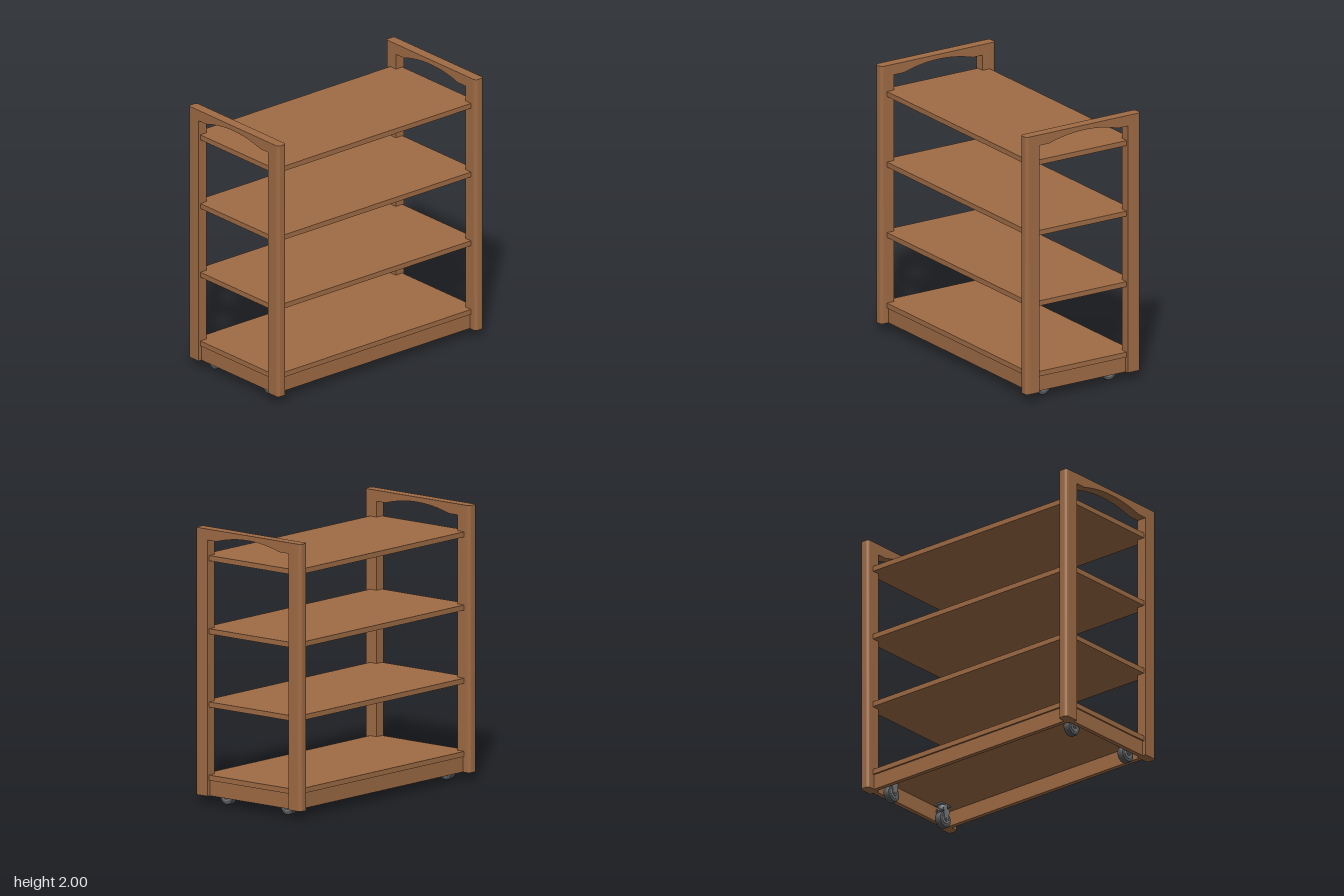
import * as THREE from 'three';
import { toCreasedNormals } from 'three/addons/utils/BufferGeometryUtils.js';

const wood = new THREE.MeshStandardMaterial({ color: 0xa06c45 });
wood.name = 'wood';
const steel = new THREE.MeshStandardMaterial({ color: 0x777a7d });
steel.name = 'steel';
const rubber = new THREE.MeshStandardMaterial({ color: 0x55585b });
rubber.name = 'rubber';

const FLOOR = 0.065, TOP = 2, OUT = 0.49, IN = 0.378, Z0 = 0.885, Z1 = 0.962;

function add(parent, name, geometry, material, x = 0, y = 0, z = 0) {
  const mesh = new THREE.Mesh(geometry, material);
  mesh.name = name;
  mesh.position.set(x, y, z);
  parent.add(mesh);
  return mesh;
}

function box(parent, name, material, x0, x1, y0, y1, z0, z1) {
  return add(parent, name, new THREE.BoxGeometry(x1 - x0, y1 - y0, z1 - z0), material,
    (x0 + x1) / 2, (y0 + y1) / 2, (z0 + z1) / 2);
}

// Upright with rounded outer corners, plan extruded upwards
function postGeometry() {
  const r = 0.022, d = (Z1 - Z0) / 2;
  const s = new THREE.Shape();
  s.moveTo(IN, -d);
  s.lineTo(OUT - r, -d);
  s.absarc(OUT - r, -d + r, r, -Math.PI / 2, 0, false);
  s.absarc(OUT - r, d - r, r, 0, Math.PI / 2, false);
  s.lineTo(IN, d);
  s.closePath();
  const g = new THREE.ExtrudeGeometry(s, { depth: TOP - FLOOR, bevelEnabled: false, curveSegments: 6 });
  g.rotateX(-Math.PI / 2);
  return toCreasedNormals(g, 0.6);
}

// Handle rail with an arched underside
function handleGeometry() {
  const s = new THREE.Shape();
  s.moveTo(-IN, TOP);
  s.lineTo(-IN, 1.92);
  s.lineTo(-0.295, 1.92);
  s.quadraticCurveTo(0, 2.008, 0.295, 1.92);
  s.lineTo(IN, 1.92);
  s.lineTo(IN, TOP);
  s.closePath();
  const g = new THREE.ExtrudeGeometry(s, { depth: Z1 - Z0, bevelEnabled: false, curveSegments: 20 });
  g.translate(0, 0, -(Z1 - Z0) / 2);
  return toCreasedNormals(g, 0.3);
}

function endFrame(side) {
  const g = new THREE.Group();
  g.name = side > 0 ? 'frontFrame' : 'backFrame';
  const post = postGeometry();
  add(g, 'leftPost', post, wood, 0, FLOOR, 0);
  add(g, 'rightPost', post, wood, 0, FLOOR, 0).rotation.y = Math.PI;
  add(g, 'handleRail', handleGeometry(), wood);
  g.position.z = side * (Z0 + Z1) / 2;
  return g;
}

// Shelf board notched around the four posts
function shelfGeometry() {
  const w = 0.44, e = 0.945;
  const s = new THREE.Shape([
    [-IN, -e], [IN, -e], [IN, -Z0], [w, -Z0], [w, Z0], [IN, Z0],
    [IN, e], [-IN, e], [-IN, Z0], [-w, Z0], [-w, -Z0], [-IN, -Z0],
  ].map(([x, y]) => new THREE.Vector2(x, y)));
  const g = new THREE.ExtrudeGeometry(s, { depth: 0.038, bevelEnabled: false });
  g.rotateX(-Math.PI / 2);
  return g;
}

// Swivel caster: plate, stem, fork, wheel and axle
function caster() {
  const g = new THREE.Group();
  g.name = 'caster';
  box(g, 'mountPlate', steel, -0.05, 0.05, 0.168, 0.178, -0.035, 0.035);
  add(g, 'swivel', new THREE.CylinderGeometry(0.034, 0.034, 0.026, 20), steel, 0, 0.155, 0);
  box(g, 'forkBridge', steel, -0.03, 0.03, 0.132, 0.144, -0.036, 0.036);
  const cheek = new THREE.Shape();
  cheek.moveTo(-0.035, 0.144);
  cheek.lineTo(-0.02, 0.058);
  cheek.absarc(0, 0.063, 0.02, Math.PI, Math.PI * 2, false);
  cheek.lineTo(0.035, 0.144);
  cheek.closePath();
  const cheekGeo = new THREE.ExtrudeGeometry(cheek, { depth: 0.005, bevelEnabled: false, curveSegments: 8 });
  for (const z of [-0.036, 0.031]) add(g, 'forkCheek', cheekGeo, steel, 0, 0, z);
  const profile = [[0.014, -0.026], [0.045, -0.026], [0.058, -0.024], [0.063, -0.015],
    [0.063, 0.015], [0.058, 0.024], [0.045, 0.026], [0.014, 0.026]].map(([x, y]) => new THREE.Vector2(x, y));
  const wheel = toCreasedNormals(new THREE.LatheGeometry(profile, 28), 0.7);
  add(g, 'wheel', wheel, rubber, 0, 0.063, 0).rotation.x = Math.PI / 2;
  add(g, 'hub', new THREE.CylinderGeometry(0.036, 0.036, 0.056, 20), steel, 0, 0.063, 0).rotation.x = Math.PI / 2;
  add(g, 'axle', new THREE.CylinderGeometry(0.009, 0.009, 0.084, 12), steel, 0, 0.063, 0).rotation.x = Math.PI / 2;
  return g;
}

export function createModel() {
  const model = new THREE.Group();
  model.name = 'shelfCart';
  model.add(endFrame(1), endFrame(-1));

  // Four shelves
  const shelf = shelfGeometry();
  for (const top of [0.216, 0.746, 1.276, 1.806]) add(model, 'shelf', shelf, wood, 0, top - 0.038, 0);

  // Skirt below the lowest shelf
  for (const s of [-1, 1]) {
    const x = s * 0.41, z = s * 0.917;
    box(model, 'sideSkirt', wood, x - 0.017, x + 0.017, FLOOR, 0.178, -Z0, Z0);
    box(model, 'endSkirt', wood, -IN, IN, FLOOR, 0.178, z - 0.017, z + 0.017);
  }

  // Casters, one slightly turned to the side
  for (const [x, z] of [[0.28, 0.855], [0.28, -0.845], [-0.31, 0.855], [-0.285, -0.845]]) {
    const c = caster();
    c.position.set(x, 0, z);
    model.add(c);
  }
  return model;
}
